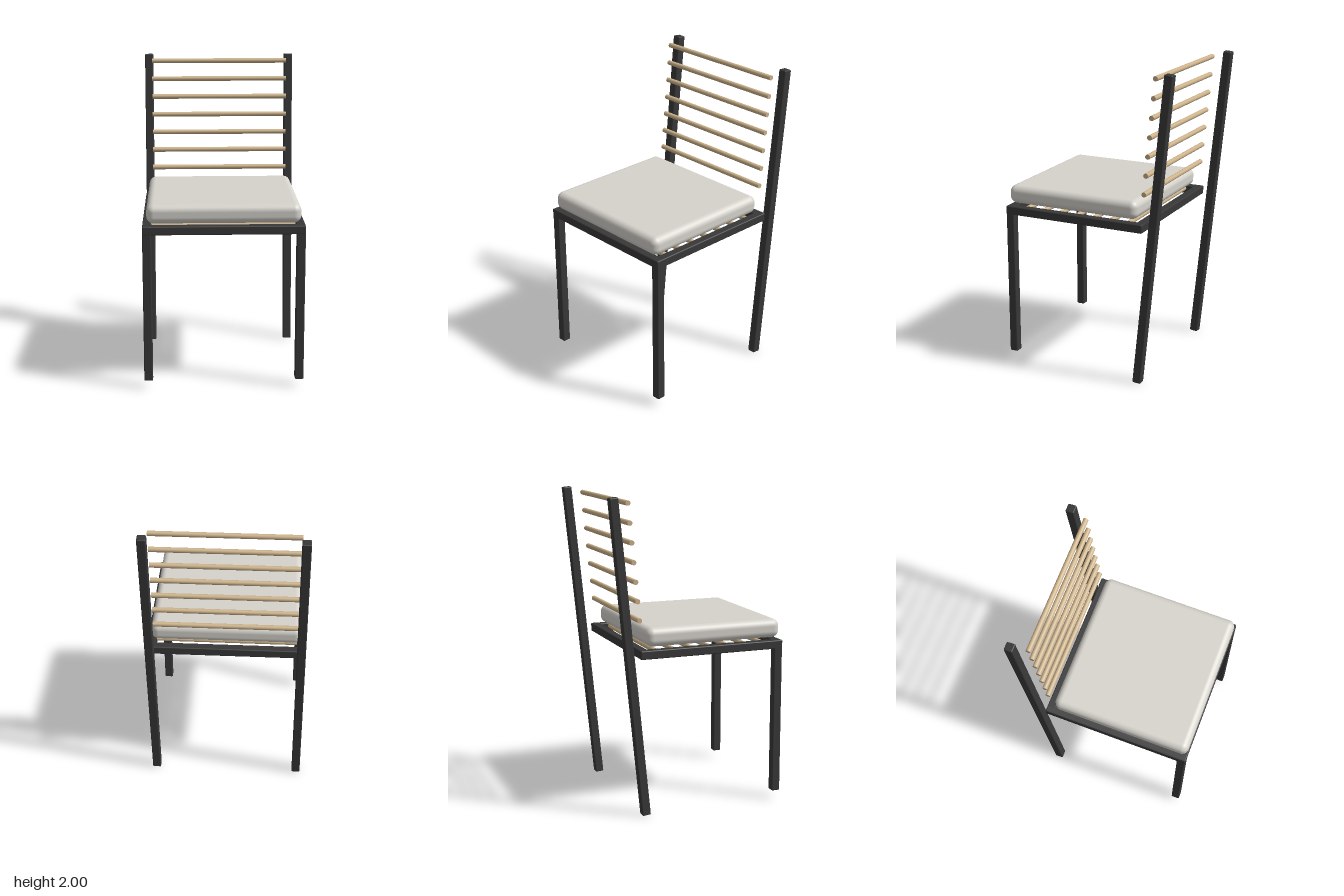
import * as THREE from 'three';
import { RoundedBoxGeometry } from 'three/addons/geometries/RoundedBoxGeometry.js';

export function createModel() {
  const chair = new THREE.Group();
  chair.name = 'chair';

  const mat = (name, color) => {
    const m = new THREE.MeshStandardMaterial({ color });
    m.name = name;
    return m;
  };
  const frameMat = mat('charcoal frame', 0x383838);
  const woodMat = mat('pale wood', 0xcdb38b);
  const fabricMat = mat('light grey fabric', 0xd6d3cc);

  const add = (name, geometry, material, x, y, z) => {
    const mesh = new THREE.Mesh(geometry, material);
    mesh.name = name;
    mesh.position.set(x, y, z);
    chair.add(mesh);
    return mesh;
  };

  const T = 0.055; // thickness of the square frame bars
  const bar = (name, w, h, d, x, y, z) =>
    add(name, new RoundedBoxGeometry(w, h, d, 2, 0.007), frameMat, x, y, z);

  // Legs and side rails, mirrored
  for (const [side, s] of [['left', 1], ['right', -1]]) {
    const x = s * 0.4765;
    bar(side + 'FrontLeg', T, 0.975, T, x, 0.5425, 0.549);
    const back = bar(side + 'BackLeg', T, 2.004, T, x, 1, -0.45);
    back.rotation.x = -Math.atan(0.1);
    bar(side + 'SeatRail', T, T, 0.962, x, 1.0325, 0.097);
  }

  // Front and back rails
  bar('frontSeatRail', 0.95, T, T, 0, 1.0325, 0.55);
  bar('backSeatRail', 0.95, T, T, 0, 1.0325, -0.356);

  // Round rods across the back and under the cushion
  const rod = new THREE.CylinderGeometry(0.016, 0.016, 0.91, 20).rotateZ(Math.PI / 2);
  for (let i = 0; i < 7; i++) {
    add('backRod' + (i + 1), rod, woodMat, 0, 1.24 + i * 0.12, -0.375 - i * 0.0118);
    add('seatRod' + (i + 1), rod, woodMat, 0, 1.04, -0.263 + i * 0.12);
  }

  // Cushion
  add('cushion', new RoundedBoxGeometry(0.955, 0.12, 0.906, 6, 0.045), fabricMat, 0, 1.131, 0.121);

  return chair;
}
